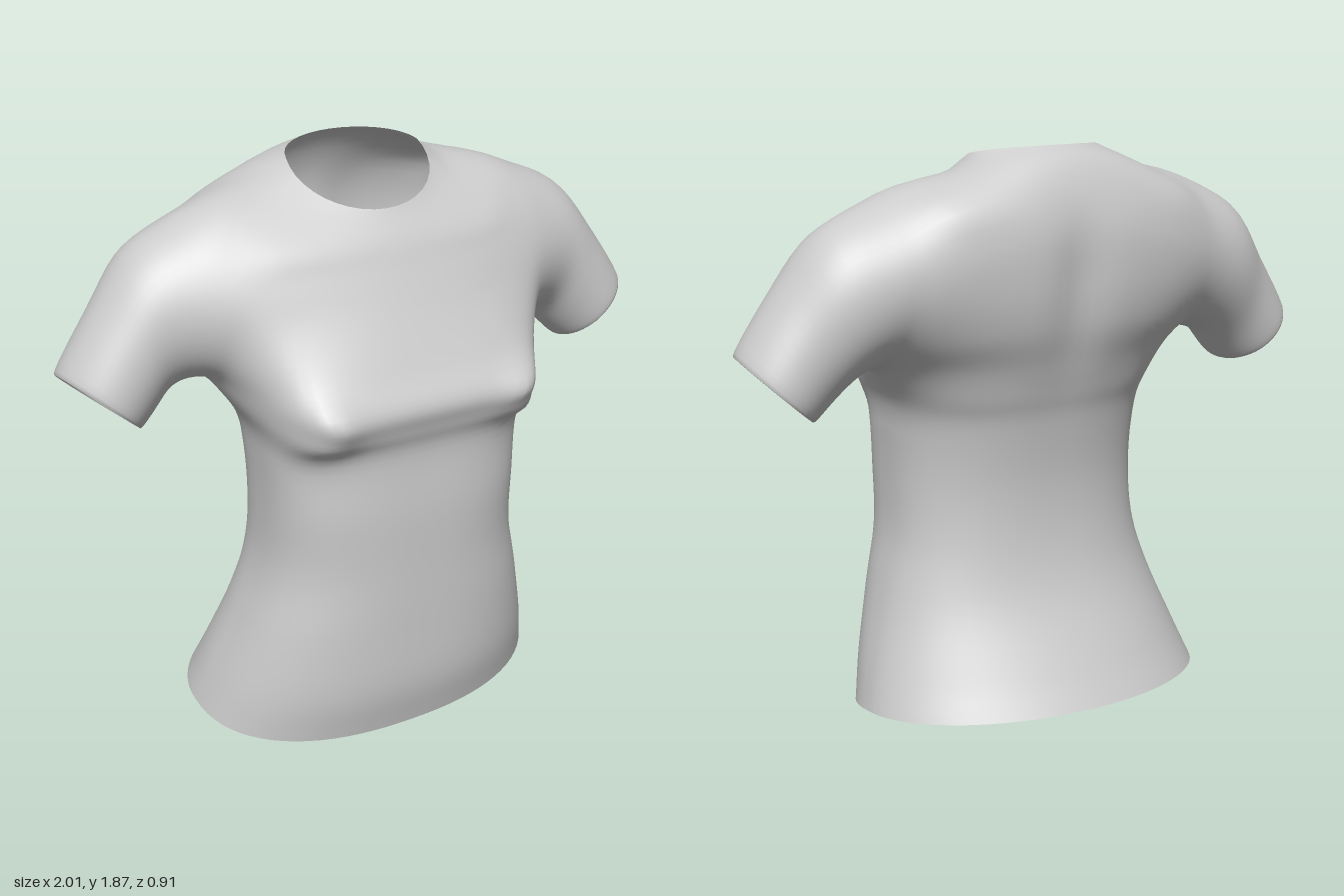
import * as THREE from 'three';
import { mergeGeometries, mergeVertices } from 'three/addons/utils/BufferGeometryUtils.js';

const STEPS = 5;    // surface rows between two control rows
const HALF = 20;    // columns from centre line to side
const ARMPIT = 7;   // control row where the side seam ends

// Side seam from hem to armpit: [half width, y, z]
const seam = [
  [0.615, 0.06, -0.03], [0.57, 0.2, 0], [0.5, 0.4, 0.05], [0.447, 0.6, 0.08],
  [0.437, 0.8, 0.09], [0.447, 1.0, 0.08], [0.475, 1.1, 0.03], [0.55, 1.2, -0.04],
];
// Armhole edges above the armpit: [half width, y, z]
const frontArmhole = [[0.56, 1.27, 0.12], [0.545, 1.42, 0.19], [0.55, 1.56, 0.15], [0.56, 1.69, 0.06]];
const backArmhole = [[0.565, 1.27, -0.21], [0.56, 1.4, -0.305], [0.56, 1.55, -0.32], [0.57, 1.68, -0.235]];

// Centre lines: [y, z, roundness n, falloff m], depth = (1 - s^n)^m
const frontCentre = [
  [0, 0.37, 2.3, 0.43], [0.17, 0.405, 2.4, 0.42], [0.39, 0.41, 2.6, 0.39], [0.6, 0.41, 2.6, 0.39],
  [0.8, 0.41, 2.8, 0.36], [1.0, 0.402, 3, 0.34], [1.09, 0.425, 6, 0.45], [1.17, 0.44, 6, 1.1],
  [1.27, 0.385, 4, 0.8], [1.42, 0.305, 2.4, 1], [1.54, 0.245, 2, 1], [1.63, 0.2, 2, 1],
];
const backCentre = [
  [0.1, -0.455, 2, 0.5], [0.22, -0.385, 2, 0.5], [0.42, -0.28, 2.2, 0.46], [0.6, -0.232, 2.4, 0.42],
  [0.8, -0.223, 2.4, 0.42], [1.0, -0.25, 2.4, 0.42], [1.1, -0.28, 2.4, 0.45], [1.2, -0.315, 2.2, 0.6],
  [1.33, -0.36, 2.4, 0.9], [1.48, -0.38, 2.2, 1], [1.65, -0.37, 2.2, 1], [1.83, -0.31, 2.4, 1],
];

const bell = (d, width) => Math.exp(-((d / width) ** 2));

// Point of a control row, t = 0 at the centre and 1 at the side
function rowPoint([w, ys, zs], [yc, zc, n, m], t, dir) {
  const s = Math.sin(t * Math.PI / 2);
  const f = t === 1 ? 0 : (1 - s ** n) ** m;
  const x = w * s, y = ys + (yc - ys) * f;
  let z = zs + (zc - zs) * f;
  if (dir > 0) z += 0.055 * f * bell(x - 0.37, 0.09) * bell(y - 1.15, 0.08);   // bust
  else z += 0.03 * f * bell(x, 0.09) * bell(y - 1.45, 0.25);                   // spine groove
  return new THREE.Vector3(x, y, z);
}

// Top row: neck rim, then the shoulder ridge out to the armhole
function topPoint(t, dir) {
  if (t <= 0.45) {
    const a = t / 0.45 * Math.PI / 2, c = Math.max(0, Math.cos(a));
    const y = dir > 0 ? 1.825 - 0.115 * c : 1.825 + 0.045 * Math.sqrt(c);
    return new THREE.Vector3(0.235 * Math.sin(a), y, -0.045 + dir * 0.185 * c);
  }
  const k = (t - 0.45) / 0.55;
  const y = 1.825 - 0.07 * k ** 1.3 + 0.022 * Math.sin(Math.PI * k);
  return new THREE.Vector3(0.235 + 0.335 * k, y, -0.045 - 0.035 * k);
}

// Smooth columns through control rows; returns a grid of rows
function loft(controls) {
  const n = (controls.length - 1) * STEPS;
  const curves = controls[0].map((_, c) =>
    new THREE.CatmullRomCurve3(controls.map((row) => row[c]), false, 'catmullrom', 0.5));
  return Array.from({ length: n + 1 }, (_, i) => curves.map((curve) => curve.getPoint(i / n)));
}

// Half panel (x >= 0) of the front (dir 1) or back (dir -1)
function halfPanel(dir) {
  const sides = [...seam, ...(dir > 0 ? frontArmhole : backArmhole)];
  const centres = dir > 0 ? frontCentre : backCentre;
  const ts = Array.from({ length: HALF + 1 }, (_, j) => j / HALF);
  const rows = sides.map((side, i) => ts.map((t) => rowPoint(side, centres[i], t, dir)));
  rows.push(ts.map((t) => topPoint(t, dir)));
  return loft(rows);
}

const mirror = (p) => new THREE.Vector3(-p.x, p.y, p.z);

// Indexed surface from a grid of points
function surface(grid, flip) {
  const cols = grid[0].length, index = [];
  for (let i = 0; i < grid.length - 1; i++) {
    for (let j = 0; j < cols - 1; j++) {
      const a = i * cols + j, b = a + 1, d = a + cols, c = d + 1;
      if (flip) index.push(a, c, b, a, d, c);
      else index.push(a, b, c, a, c, d);
    }
  }
  const g = new THREE.BufferGeometry().setFromPoints(grid.flat());
  g.setIndex(index);
  return g;
}

// Sleeve on the +x side, starting from the armhole ring
function sleeveGrid(front, back) {
  const first = ARMPIT * STEPS;
  const edge = (panel) => panel.slice(first).map((row) => row[HALF]);
  const armhole = [...edge(front), ...edge(back).reverse().slice(1)];
  // Rings: [bottom x, bottom y, top x, top y, centre z, z radius, forward turn];
  // the last two are the turned-in cuff
  const rings = [
    [0.655, 1.2, 0.745, 1.65, -0.085, 0.205, 0],
    [0.72, 1.14, 0.88, 1.48, -0.065, 0.175, 0.01],
    [0.78, 1.085, 1.0, 1.3, -0.055, 0.165, 0.02],
    [0.785, 1.105, 0.975, 1.29, -0.055, 0.145, 0.02],
    [0.765, 1.135, 0.95, 1.315, -0.055, 0.143, 0.02],
  ];
  const n = armhole.length - 1;
  return loft([armhole, ...rings.map(([bx, by, tx, ty, z, r, turn]) => armhole.map((_, k) => {
    const a = (k % n) / n * Math.PI * 2, u = (1 - Math.cos(a)) / 2, v = Math.sin(a);
    return new THREE.Vector3(
      bx + (tx - bx) * u - 0.67 * turn * v, by + (ty - by) * u + 0.74 * turn * v, z + r * v);
  }))]);
}

// Relax the cloth around the armholes and along the shoulders, keeping open edges fixed
function relax(geometry, rounds) {
  const pos = geometry.attributes.position, index = geometry.index.array;
  const links = Array.from({ length: pos.count }, () => new Map());
  const link = (a, b) => links[a].set(b, (links[a].get(b) || 0) + 1);
  for (let i = 0; i < index.length; i += 3) {
    for (let k = 0; k < 3; k++) {
      const a = index[i + k], b = index[i + (k + 1) % 3];
      link(a, b);
      link(b, a);
    }
  }
  let points = links.map((_, i) => new THREE.Vector3().fromBufferAttribute(pos, i));
  const weights = points.map((p, i) => {
    if (p.y < 1 || [...links[i].values()].includes(1)) return 0;
    return 0.6 * Math.max(bell(Math.abs(p.x) - 0.58, 0.13), bell(p.y - 1.8, 0.09));
  });
  for (let r = 0; r < rounds; r++) {
    points = points.map((p, i) => {
      if (weights[i] < 0.01) return p;
      const mean = new THREE.Vector3();
      for (const j of links[i].keys()) mean.add(points[j]);
      return p.clone().lerp(mean.divideScalar(links[i].size), weights[i]);
    });
  }
  points.forEach((p, i) => {
    const low = Math.max(0, 1 - p.y / 0.5);   // the hem hangs slightly to one side
    pos.setXYZ(i, p.x - 0.025 * low, p.y + 0.025 * low * p.x, p.z);
  });
}

export function createModel() {
  const front = halfPanel(1), back = halfPanel(-1);

  // Close the side seams up to the armpit
  for (let i = 0; i <= ARMPIT * STEPS; i++) {
    const p = front[i][HALF].lerp(back[i][HALF], 0.5);
    back[i][HALF].copy(p);
  }

  const full = (half) => half.map((row) => [...row.slice(1).reverse().map(mirror), ...row]);
  const sleeve = sleeveGrid(front, back);
  const parts = [
    surface(full(front), false),
    surface(full(back), true),
    surface(sleeve, true),
    surface(sleeve.map((ring) => ring.map(mirror)), false),
  ];

  // One seamless shell so that the shading runs smoothly across the seams
  const geometry = mergeVertices(mergeGeometries(parts), 1e-4);
  relax(geometry, 16);
  geometry.computeVertexNormals();
  const material = new THREE.MeshStandardMaterial({ color: 0xcccccc, side: THREE.DoubleSide });
  const shirt = new THREE.Mesh(geometry, material);
  shirt.name = 'shirtShell';

  const group = new THREE.Group();
  group.name = 'shirt';
  group.add(shirt);
  return group;
}
